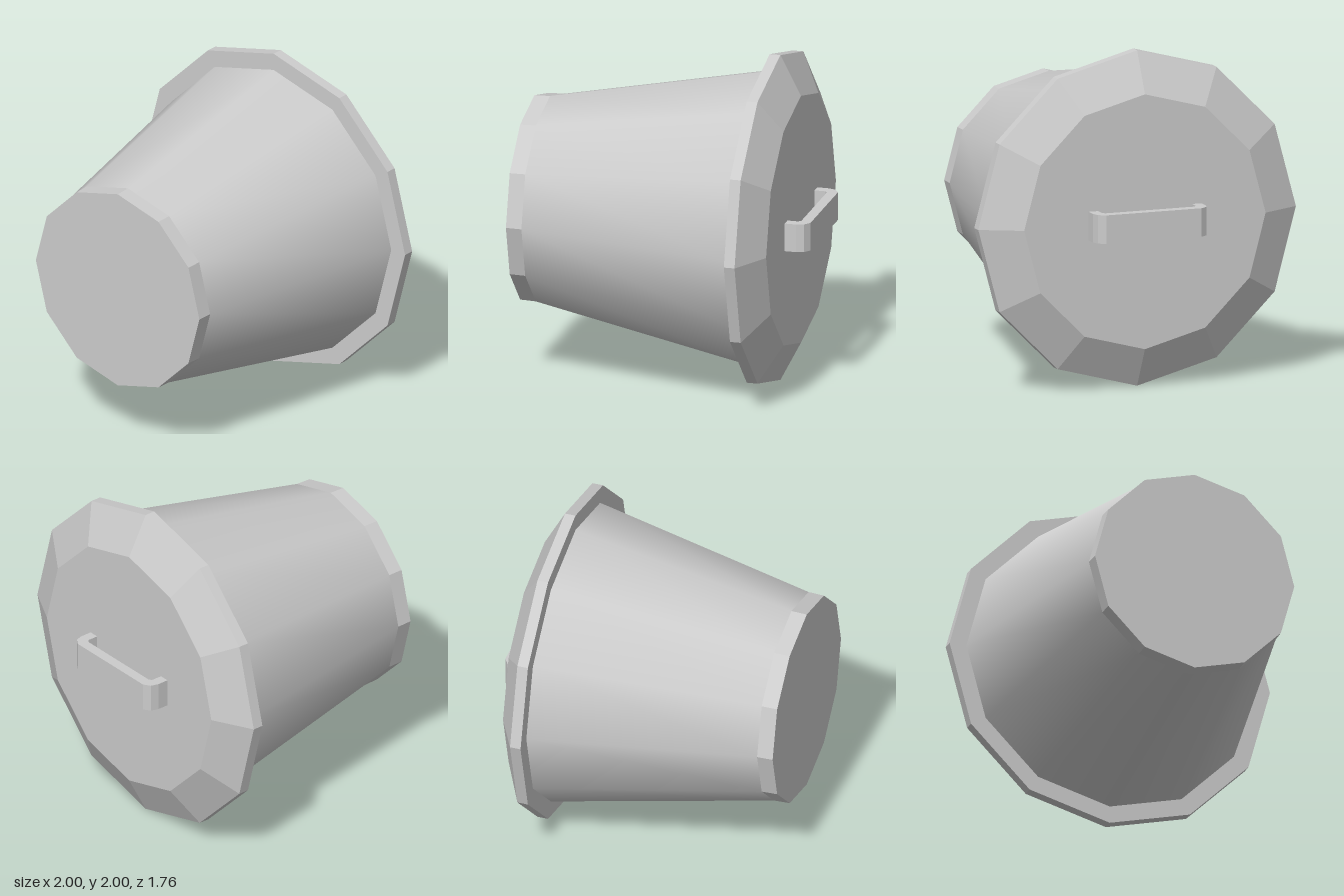
import * as THREE from 'three';

const SIDES = 12;
const smooth = new THREE.MeshStandardMaterial({ color: 0xcccccc });
const flat = new THREE.MeshStandardMaterial({ color: 0xcccccc, flatShading: true });

export function createModel() {
  const group = new THREE.Group();
  const add = (name, geometry, material) => {
    const mesh = new THREE.Mesh(geometry, material);
    mesh.name = name;
    group.add(mesh);
  };

  // Twelve-sided section lying along z, from its front end to its back end
  const section = (rFront, rBack, zFront, zBack, open) =>
    new THREE.CylinderGeometry(rFront, rBack, zFront - zBack, SIDES, 1, open)
      .rotateX(Math.PI / 2)
      .translate(0, 1, (zFront + zBack) / 2);

  // End cap facing front (+z) or back (-z)
  const disc = (r, z, back) => {
    const g = new THREE.CircleGeometry(r, SIDES);
    if (back) g.rotateY(Math.PI);
    return g.translate(0, 1, z);
  };

  // Bin: smooth tapered wall, faceted base band, flat bottom
  add('binWall', section(0.625, 0.895, 0.785, -0.55, true), smooth);
  add('baseBand', section(0.622, 0.625, 0.88, 0.785, true), flat);
  add('binBottom', disc(0.622, 0.88, false), flat);

  // Lid: rim, bevel, underside and top
  add('lidRim', section(1, 1, -0.55, -0.615, true), flat);
  add('lidBevel', section(1, 0.76, -0.615, -0.74, true), flat);
  add('lidUnderside', disc(1, -0.55, false), flat);
  add('lidTop', disc(0.76, -0.74, true), flat);

  // Handle: bent flat strap with bevelled corners
  const half = [
    [0.355, 0.735], [0.355, 0.81], [0.342, 0.855], [0.3, 0.882],
  ];
  const inner = [[0.28, 0.82], [0.295, 0.805], [0.295, 0.735]];
  const mirror = (pts) => pts.map(([x, y]) => [-x, y]).reverse();
  const outline = [...half, ...mirror(half), ...mirror(inner), ...inner];
  const shape = new THREE.Shape(outline.map(([x, y]) => new THREE.Vector2(x, y)));
  const strap = new THREE.ExtrudeGeometry(shape, { depth: 0.17, bevelEnabled: false });
  strap.rotateX(-Math.PI / 2).translate(0, 0.915, 0);
  add('lidHandle', strap, flat);

  return group;
}
